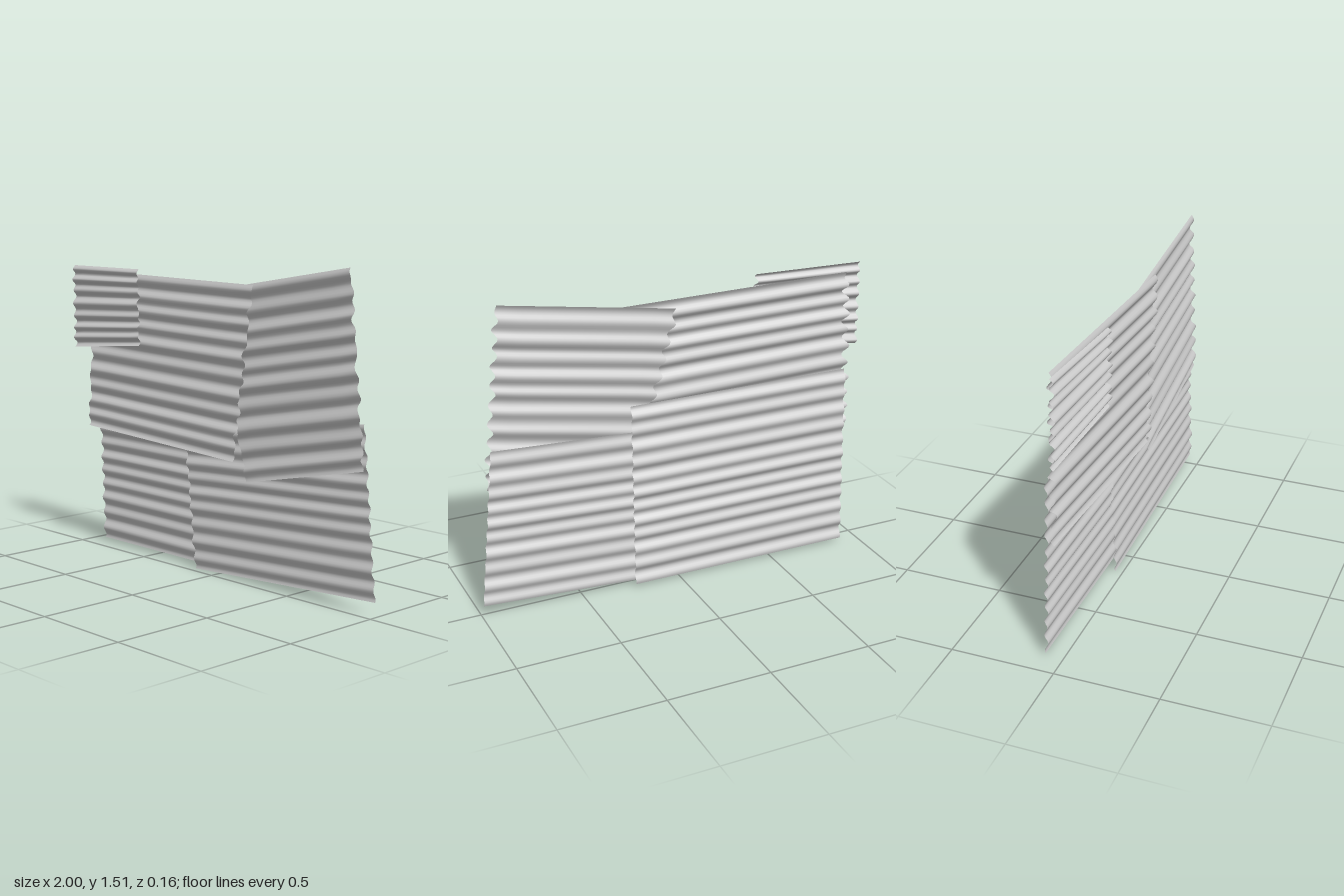
import * as THREE from 'three';

const material = new THREE.MeshStandardMaterial({ color: 0xcccccc, side: THREE.DoubleSide });

// Slightly irregular corrugation in the range -1..1; t runs from the top edge to the bottom edge
function ripple(t, waves, seed) {
  const phase = t * waves * Math.PI * 2;
  return 0.75 * Math.sin(phase + 0.6 * Math.sin(t * 9 + seed)) + 0.25 * Math.sin(phase * 0.43 + seed * 2.1);
}

// Corrugated sheet spanned between four corners; jag = uneven depth of the [left, right] end
function sheet({ name, tl, tr, br, bl, waves, depth, jag = [0, 0], seed }) {
  const [TL, TR, BR, BL] = [tl, tr, br, bl].map((c) => new THREE.Vector3(...c));
  const geometry = new THREE.PlaneGeometry(1, 1, 8, waves * 8);
  const pos = geometry.attributes.position;
  const left = new THREE.Vector3();
  const right = new THREE.Vector3();
  for (let i = 0; i < pos.count; i++) {
    const u = pos.getX(i) + 0.5;
    const t = 0.5 - pos.getY(i);
    left.lerpVectors(TL, BL, t);
    right.lerpVectors(TR, BR, t);
    const fade = Math.min(1, Math.min(t, 1 - t) * 12);
    left.x += jag[0] * fade * ripple(t, waves, seed + 1);
    right.x += jag[1] * fade * ripple(t, waves, seed + 2);
    left.lerp(right, u);
    pos.setXYZ(i, left.x, left.y, left.z + depth * ripple(t, waves, seed));
  }
  geometry.computeVertexNormals();
  const mesh = new THREE.Mesh(geometry, material);
  mesh.name = name;
  return mesh;
}

export function createModel() {
  const group = new THREE.Group();
  group.name = 'corrugatedWall';

  const sheets = [
    // Rearmost sheet, low on the right-hand side of the model
    { name: 'lowerRightSheet', waves: 12, depth: 0.011, seed: 1,
      tl: [-0.9, 0.94, -0.05], tr: [0.24, 0.94, -0.046], br: [0.24, 0.02, -0.074], bl: [-0.9, 0.02, -0.078] },
    // Slightly rotated sheet lapped over it
    { name: 'lowerLeftSheet', waves: 10, depth: 0.01, seed: 2.3,
      tl: [-0.23, 0.78, -0.03], tr: [0.92, 0.84, -0.034], br: [0.995, 0.065, -0.034], bl: [-0.15, 0.0, -0.034] },
    // Tilted sheet, tucked behind its neighbour
    { name: 'upperLeftSheet', waves: 10, depth: 0.012, jag: [0.016, 0.016], seed: 3.1,
      tl: [0.0, 1.375, -0.02], tr: [0.85, 1.51, -0.01], br: [0.94, 0.64, -0.008], bl: [0.23, 0.49, -0.002] },
    // Wide upper sheet with ragged ends
    { name: 'upperRightSheet', waves: 10, depth: 0.013, jag: [0.02, 0.02], seed: 4.4,
      tl: [-0.9, 1.43, -0.02], tr: [0.28, 1.41, 0.01], br: [0.16, 0.58, 0.015], bl: [-0.935, 0.625, -0.008] },
    // Small patch fixed in front of the top corner
    { name: 'cornerPatch', waves: 7, depth: 0.014, jag: [0.003, 0.01], seed: 5.2,
      tl: [-1, 1.455, 0.03], tr: [-0.455, 1.455, 0.065], br: [-0.455, 1.08, 0.06], bl: [-1, 1.035, 0.025] },
  ];
  for (const s of sheets) group.add(sheet(s));
  return group;
}
